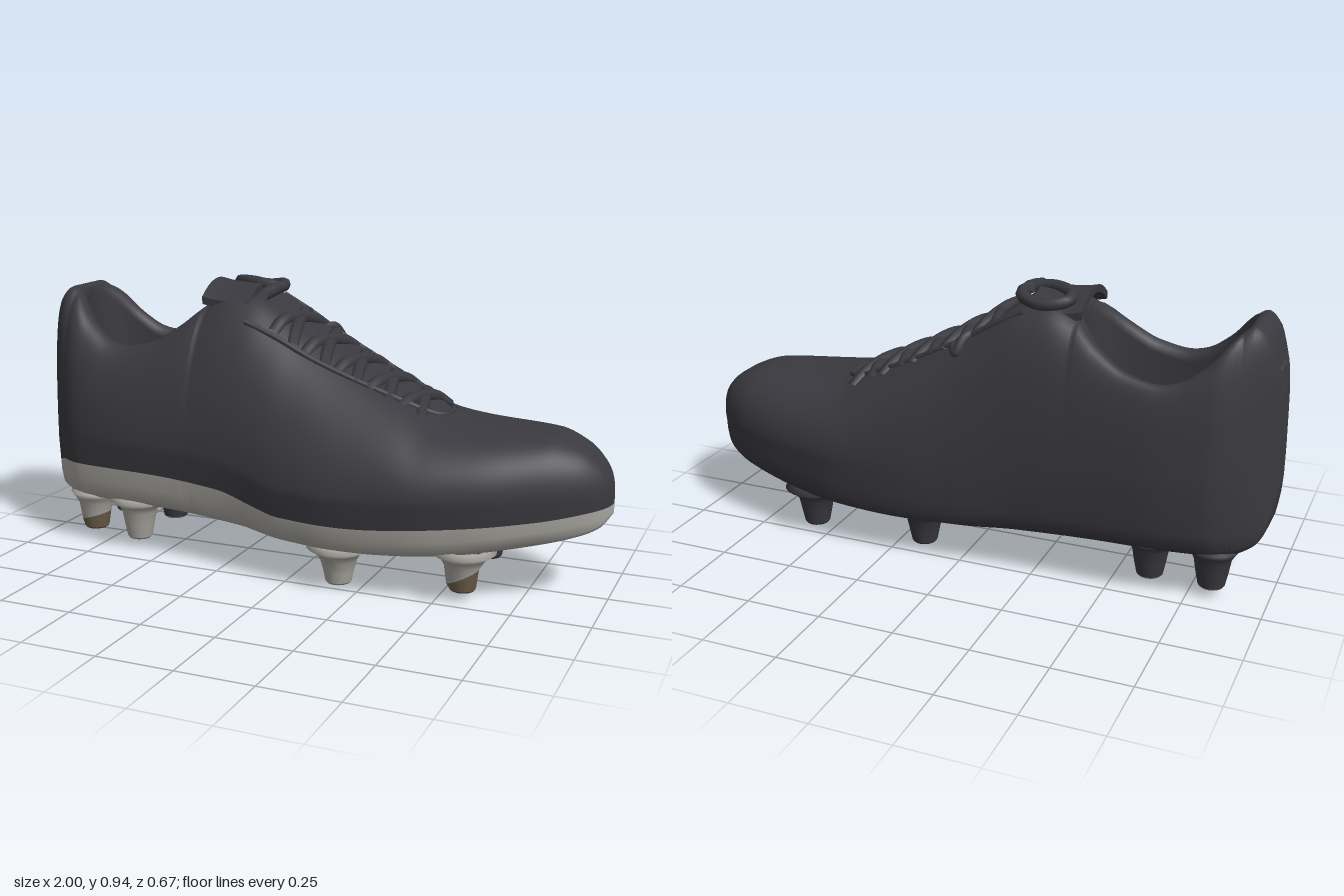
import * as THREE from 'three';
import { RoundedBoxGeometry } from 'three/addons/geometries/RoundedBoxGeometry.js';

// Smooth monotone curve through [x, value] pairs
function curve(p) {
  const s = p.slice(1).map((q, i) => (q[1] - p[i][1]) / (q[0] - p[i][0]));
  const m = p.map((_, i) => {
    if (i === 0) return s[0];
    if (i === p.length - 1) return s[i - 1];
    return s[i - 1] * s[i] <= 0 ? 0 : (2 * s[i - 1] * s[i]) / (s[i - 1] + s[i]);
  });
  return (x) => {
    let i = 0;
    while (i < p.length - 2 && x > p[i + 1][0]) i++;
    const h = p[i + 1][0] - p[i][0];
    const t = Math.min(1, Math.max(0, (x - p[i][0]) / h)), t2 = t * t, t3 = t2 * t;
    return p[i][1] * (2 * t3 - 3 * t2 + 1) + h * m[i] * (t3 - 2 * t2 + t)
      + p[i + 1][1] * (3 * t2 - 2 * t3) + h * m[i + 1] * (t3 - t2);
  };
}

// Outline of the boot along its length
const top = curve([[-1, 0.5], [-0.985, 0.68], [-0.97, 0.76], [-0.94, 0.855], [-0.9, 0.89], [-0.86, 0.865],
  [-0.78, 0.775], [-0.7, 0.72], [-0.65, 0.71], [-0.55, 0.73], [-0.45, 0.79], [-0.36, 0.865], [-0.28, 0.895],
  [-0.2, 0.885], [-0.1, 0.83], [0, 0.765], [0.2, 0.66], [0.35, 0.59], [0.45, 0.548], [0.6, 0.53], [0.8, 0.52],
  [0.9, 0.485], [0.96, 0.435], [0.985, 0.395], [1, 0.33]]);
const bottom = curve([[-1, 0.4], [-0.985, 0.3], [-0.97, 0.225], [-0.94, 0.185], [-0.88, 0.165], [-0.5, 0.16],
  [-0.2, 0.145], [0, 0.127], [0.2, 0.122], [0.5, 0.14], [0.7, 0.17], [0.9, 0.212], [0.97, 0.24], [1, 0.28]]);
const edge = curve([[-1, 0.41], [-0.985, 0.31], [-0.97, 0.27], [-0.88, 0.297], [-0.6, 0.3], [-0.25, 0.283],
  [-0.1, 0.25], [0, 0.232], [0.2, 0.23], [0.5, 0.25], [0.8, 0.278], [0.97, 0.305], [1, 0.31]]);
const zFar = curve([[-1, -0.05], [-0.985, -0.115], [-0.96, -0.165], [-0.9, -0.225], [-0.8, -0.28], [-0.6, -0.303],
  [-0.2, -0.306], [0, -0.316], [0.2, -0.334], [0.4, -0.34], [0.6, -0.31], [0.8, -0.25], [0.9, -0.19],
  [0.97, -0.11], [0.99, -0.065], [1, -0.02]]);
const zNear = curve([[-1, -0.05], [-0.985, 0.02], [-0.96, 0.08], [-0.9, 0.155], [-0.8, 0.21], [-0.6, 0.235],
  [-0.4, 0.245], [-0.2, 0.27], [0, 0.315], [0.17, 0.335], [0.4, 0.32], [0.6, 0.27], [0.8, 0.18], [0.9, 0.12],
  [0.97, 0.06], [0.99, 0.025], [1, -0.02]]);
const ridge = curve([[-1, -0.05], [-0.6, -0.07], [0, -0.06], [0.4, -0.03], [0.7, -0.04], [1, -0.02]]);
const split = curve([[-1, -0.05], [-0.97, 0.02], [-0.9, 0.05], [0, 0.07], [0.6, 0.07], [0.75, 0.04],
  [0.85, -0.03], [0.93, -0.1], [0.97, -0.085], [1, -0.02]]);
const flat = curve([[-1, 0.08], [-0.3, 0.08], [0, 0.07], [0.4, 0.04], [1, 0.03]]);
const fullNear = curve([[-1, 2.4], [-0.8, 2.2], [-0.55, 1.8], [-0.2, 1.65], [0.1, 1.65], [0.4, 2], [0.7, 2.3], [1, 2.2]]);
const fullFar = curve([[-1, 2.6], [0.1, 2.8], [0.5, 2.3], [1, 2.2]]);

// Foot opening
const HEEL = -0.88, FRONT = -0.36, FLOOR = 0.32;
const opening = (x) => {
  const u = (x - (HEEL + FRONT) / 2) / ((FRONT - HEEL) / 2);
  return Math.abs(u) >= 1 ? 0 : 0.15 * Math.pow(1 - u * u, 0.4);
};

function sideOf(x, s) {
  const zm = s > 0 ? zNear(x) : zFar(x), zc = ridge(x), w = opening(x);
  const half = Math.abs(zm - zc);
  const crest = zc + s * Math.min(Math.max(flat(x), w ? w + 0.03 : 0), half * 0.85);
  const yw = edge(x) + Math.min(0.08, 0.25 * Math.max(0, top(x) - edge(x)));
  return { zm, zc, w, crest, yw, n: (s > 0 ? fullNear : fullFar)(x) };
}

// Height of the upper at a point in plan
function surfaceY(x, z) {
  const q = sideOf(x, z > ridge(x) ? 1 : -1);
  const f = Math.min(1, Math.max(0, (z - q.crest) / (q.zm - q.crest)));
  return q.yw + (top(x) - q.yw) * Math.pow(1 - Math.pow(f, q.n), 1 / q.n);
}

// One half of a cross-section: sole, wall, rim, then lining
const SOLE = 5, WALL = 16;
function halfSection(x, s) {
  const q = sideOf(x, s), b = bottom(x), e = edge(x), t = top(x), z0 = split(x);
  const mid = (q.zm + q.zc) / 2;
  const at = (f) => mid + (q.zm - mid) * f;
  const pts = [[z0, b], [z0 + (at(0.5) - z0) * 0.6, b], [at(0.5), b + 0.004],
    [at(0.78), b + (e - b) * 0.22], [at(0.89), b + (e - b) * 0.6], [at(0.92), e]];
  for (let k = 0; k <= WALL; k++) {
    const a = (k / WALL) * Math.PI / 2, p = 2 / q.n;
    pts.push([q.crest + (q.zm - q.crest) * Math.pow(Math.max(0, Math.cos(a)), p),
      q.yw + (t - q.yw) * Math.pow(Math.sin(a), p)]);
  }
  const zi = q.zc + s * q.w, open = q.w > 0;
  pts.push([open ? zi + s * 0.006 : q.zc, open ? t - 0.01 : t], [zi, open ? t - 0.035 : t],
    [zi, open ? FLOOR + 0.03 : t], [q.zc + s * q.w * 0.9, open ? FLOOR : t], [q.zc, open ? FLOOR : t]);
  return pts;
}

function buildShell() {
  const xs = [];
  for (let i = 0; i <= 120; i++) xs.push(-Math.cos((i / 120) * Math.PI));
  for (const d of [0, 0.002, 0.006, 0.012, 0.02]) xs.push(HEEL + d, FRONT - d);
  xs.sort((a, b) => a - b);
  const pos = [], dark = [], light = [];
  let ring = 0;
  for (const x of xs) {
    const near = halfSection(x, 1), far = halfSection(x, -1);
    const loop = [...near, ...far.slice(1, -1).reverse()];
    ring = loop.length;
    for (const [z, y] of loop) pos.push(x, y, z);
  }
  // The pale side stops short of the heel and wraps around the toe
  const pale = (x, j) => (j < SOLE && x > -0.97) || (j >= ring - SOLE && x > 0.958);
  for (let i = 0; i < xs.length - 1; i++) for (let j = 0; j < ring; j++) {
    const k = (j + 1) % ring, a = i * ring + j, b = a + ring, c = i * ring + k, d = c + ring;
    (pale(xs[i], j) ? light : dark).push(a, b, c, b, d, c);
  }
  const g = new THREE.BufferGeometry();
  g.setAttribute('position', new THREE.Float32BufferAttribute(pos, 3));
  g.setIndex([...dark, ...light]);
  g.computeVertexNormals();
  const sole = g.clone();
  g.setIndex(dark);
  sole.setIndex(light);
  return { upper: g, sole };
}

// Lathe whose ring at height y is tilted along x
function tiltedLathe(profile, y, tilt) {
  const g = new THREE.LatheGeometry(profile.map(([r, h]) => new THREE.Vector2(r, h)), 20);
  const p = g.attributes.position;
  for (let i = 0; i < p.count; i++)
    if (Math.abs(p.getY(i) - y) < 1e-4) p.setY(i, y + tilt * p.getX(i));
  return g;
}

export function createModel() {
  const group = new THREE.Group();
  const mat = (name, color) => Object.assign(new THREE.MeshStandardMaterial({ color }), { name });
  const black = mat('charcoal', 0x39393f), grey = mat('pale grey', 0xa8a69f), brown = mat('brown', 0x6b5c49);
  const add = (name, geo, m) => {
    const mesh = new THREE.Mesh(geo, m);
    mesh.name = name;
    group.add(mesh);
    return mesh;
  };
  const tube = (name, pts, r, closed = false) => add(name, new THREE.TubeGeometry(
    new THREE.CatmullRomCurve3(pts.map((p) => new THREE.Vector3(...p)), closed), 32, r, 8, closed), black);

  const shell = buildShell();
  add('upper', shell.upper, black);
  add('soleOuterSide', shell.sole, grey);

  // Studs: x, z, foot height, shank, tip and foot materials, tilt of the worn edge
  const studs = [[0.575, 0.17, 0.03, grey, brown, brown, 0.5], [0.17, 0.205, 0.01, grey, grey, grey, 0],
    [-0.62, 0.11, 0.03, grey, grey, grey, 0], [-0.815, 0.08, 0.035, grey, brown, brown, 0.3],
    [0.56, -0.2, 0.02, black, black, black, 0], [0.17, -0.155, 0, black, black, black, 0],
    [-0.62, -0.15, 0.03, black, black, grey, 0], [-0.82, -0.15, 0.03, black, black, grey, 0]];
  for (const [x, z, y, shank, tip, foot, tilt] of studs) {
    const b = bottom(x), cut = y + 0.045, flare = x < -0.7 ? 0.088 : 0.105;
    const parts = [['studFoot', [[0, y], [0.038, y], [0.043, y + 0.006]], foot],
      ['studTip', [[0.043, y + 0.006], [0.051, cut]], tip],
      ['studShank', [[0.051, cut], [0.06, b - 0.035], [0.074, b - 0.012], [flare, b + 0.008], [flare - 0.03, b + 0.02]], shank]];
    for (const [name, profile, m] of parts) add(name, tiltedLathe(profile, cut, tilt), m).position.set(x, 0, z);
  }

  // Crossed laces lying on the instep
  for (let i = 0; i < 5; i++) for (const s of [1, -1]) {
    const pts = [];
    for (let k = 0; k <= 6; k++) {
      const t = k / 6, x = -0.11 + i * 0.11 + t * 0.07, z = -0.055 + s * (0.145 - 0.29 * t);
      pts.push([x, surfaceY(x, z) - 0.014 + (s > 0 ? 0.02 : 0.012) * Math.sin(Math.PI * t), z]);
    }
    tube('lace', pts, 0.022);
  }

  // Raised edge of the lacing area
  const seam = [];
  for (let k = 0; k <= 24; k++) {
    const a = Math.sin(((k / 24) * 2 - 1) * 0.93 * Math.PI / 2);
    const x = -0.28 + 0.74 * Math.pow(1 - Math.pow(a, 4), 0.6), z = -0.05 + 0.16 * a;
    seam.push([x, surfaceY(x, z), z]);
  }
  tube('throatEdge', seam, 0.01);

  // Tongue arched over the instep, its back edge lifted
  const tongueShape = new THREE.BoxGeometry(0.17, 0.025, 0.25, 6, 1, 14);
  const tp = tongueShape.attributes.position;
  for (let i = 0; i < tp.count; i++) {
    const x = tp.getX(i), z = tp.getZ(i);
    tp.setY(i, tp.getY(i) - 3.2 * z * z + 1.5 * Math.max(0, -x) ** 2);
  }
  tongueShape.computeVertexNormals();
  add('tongue', tongueShape, black).position.set(-0.3, 0.912, -0.07);

  // Bow and loose lace end
  tube('bowLoop', [[-0.17, 0.91, -0.09], [-0.25, 0.925, -0.08], [-0.33, 0.92, -0.13], [-0.33, 0.91, -0.19],
    [-0.26, 0.9, -0.21], [-0.19, 0.91, -0.18]], 0.02, true);
  tube('bowKnot', [[-0.2, 0.9, -0.15], [-0.17, 0.908, -0.07], [-0.18, 0.895, 0.02]], 0.022);
  tube('laceEnd', [[-0.04, 0.77, -0.17], [-0.01, surfaceY(-0.01, -0.21) + 0.01, -0.21],
    [0.01, surfaceY(0.01, -0.24), -0.24], [0.03, surfaceY(0.03, -0.21), -0.21]], 0.017);

  // Heel pull tab
  const tab = add('heelTab', new RoundedBoxGeometry(0.035, 0.1, 0.09, 3, 0.015), black);
  tab.position.set(-0.967, 0.71, -0.05);
  tab.rotation.z = -0.15;
  return group;
}
